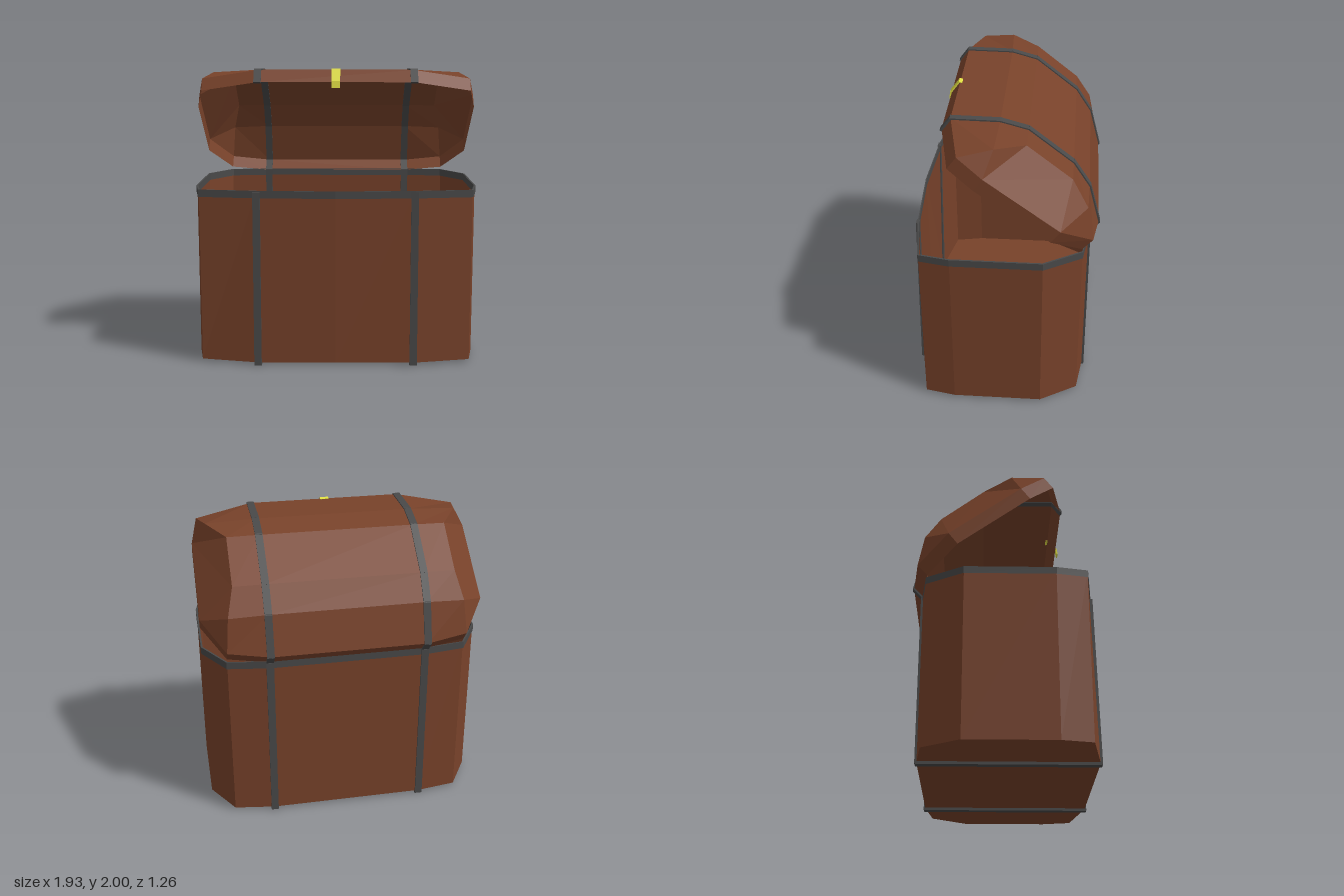
import * as THREE from 'three';

const mat = (name, color) => {
  const m = new THREE.MeshStandardMaterial({ color, side: THREE.DoubleSide, flatShading: true });
  m.name = name;
  return m;
};

// Faceted mesh from a list of quads / triangles, each given by its corner points
function facets(name, material, faces) {
  const pos = [];
  for (const f of faces)
    for (let i = 1; i < f.length - 1; i++) pos.push(...f[0], ...f[i], ...f[i + 1]);
  const g = new THREE.BufferGeometry();
  g.setAttribute('position', new THREE.Float32BufferAttribute(pos, 3));
  g.computeVertexNormals();
  const mesh = new THREE.Mesh(g, material);
  mesh.name = name;
  return mesh;
}

// Wall between two closed rings with the same number of points
const band = (low, high) => low.map((p, i) => {
  const j = (i + 1) % low.length;
  return [p, low[j], high[j], high[i]];
});

// Flat iron strap following [z, y] points in the plane x
function strap(name, material, x, path, width = 0.05, thick = 0.022) {
  const group = new THREE.Group();
  group.name = name;
  for (let i = 0; i < path.length - 1; i++) {
    const [z0, y0] = path[i], [z1, y1] = path[i + 1];
    const len = Math.hypot(z1 - z0, y1 - y0);
    const piece = new THREE.Mesh(new THREE.BoxGeometry(width, thick, len + thick * 0.6), material);
    piece.name = 'strapPiece';
    piece.position.set(x, (y0 + y1) / 2, (z0 + z1) / 2);
    piece.rotation.x = -Math.atan2(y1 - y0, z1 - z0);
    group.add(piece);
  }
  return group;
}

// Footprint ring: half of it is listed from front to back, then mirrored
function footprint(y, frontMid, frontStrap, scale = 1) {
  const half = [[0.53, frontStrap], [0.92, 0.535], [0.96, 0.33], [0.96, -0.27], [0.81, -0.52], [0.53, -0.56]];
  const ring = [[0, frontMid], ...half, ...half.map(([x, z]) => [-x, z]).reverse()];
  return ring.map(([x, z]) => [x * scale, y, z * scale]);
}

export function createModel() {
  const wood = mat('brown wood', 0x78422a);
  const iron = mat('dark iron', 0x494949);
  const brass = mat('yellow brass', 0xe0de42);
  const model = new THREE.Group();
  model.name = 'chest';

  // Open box
  const floor = footprint(0.02, 0.615, 0.615);
  const top = footprint(1.2, 0.618, 0.59);
  model.add(facets('boxWalls', wood, band(floor, top)));
  model.add(facets('boxFloor', wood, [[...floor].reverse()]));

  // Iron rim around the opening
  const rings = [[1.155, 1.006], [1.205, 1.006], [1.205, 0.994], [1.155, 0.994]]
    .map(([y, s]) => footprint(y, 0.618, 0.592, s));
  model.add(facets('rim', iron, rings.slice(0, 3).flatMap((r, i) => band(r, rings[i + 1]))));

  // Straps around the box
  for (const side of [-1, 1])
    model.add(strap('boxStrap', iron, side * 0.53,
      [[-0.56, 1.19], [-0.56, 0.012], [0.615, 0.012], [0.595, 1.19]]));

  // Lid, built closed with z running forward from the hinge, then tilted open
  const lid = new THREE.Group();
  lid.name = 'lid';
  lid.position.set(0, 1.195, -0.555);
  lid.rotation.x = -Math.atan2(0.6, 0.8);
  model.add(lid);

  // Arched profile at the straps, [z, y] from front to back
  const arch = [[1.2, 0], [1.2, 0.1], [0.945, 0.285], [0.771, 0.353],
    [0.4, 0.343], [0.211, 0.273], [-0.01, 0.097], [0, 0]];
  // Matching tapered ends, [x, y, z]
  const end = [[0.92, 0, 1.1], [0.92, 0.1, 1.1], [0.87, 0.262, 0.945], [0.745, 0.35, 0.771],
    [0.745, 0.34, 0.4], [0.79, 0.26, 0.211], [0.81, 0.1, 0.04], [0.81, 0, 0.05]];
  const middle = [], ends = [];
  for (let i = 0; i < arch.length - 1; i++) {
    const at = (k, x) => [x, arch[k][1], arch[k][0]];
    middle.push([at(i, -0.53), at(i, 0.53), at(i + 1, 0.53), at(i + 1, -0.53)]);
    ends.push([at(i, 0.53), end[i], end[i + 1], at(i + 1, 0.53)]);
  }
  const f0 = [0.965, 0, 0.9], f1 = [0.965, 0.1, 0.9], b1 = [0.965, 0.1, 0.3], b0 = [0.965, 0, 0.3];
  ends.push([end[0], f0, f1, end[1]], [f0, b0, b1, f1], [b0, end[7], end[6], b1],
    [end[1], f1, end[2]], [f1, end[3], end[2]], [f1, b1, end[4], end[3]],
    [b1, end[5], end[4]], [b1, end[6], end[5]]);
  const mirrored = ends.map(f => f.map(([x, y, z]) => [-x, y, z]).reverse());
  lid.add(facets('lidMiddle', wood, middle));
  lid.add(facets('lidLeftEnd', wood, ends));
  lid.add(facets('lidRightEnd', wood, mirrored));

  // Lid straps
  for (const side of [-1, 1]) lid.add(strap('lidStrap', iron, side * 0.53, arch, 0.05, 0.016));

  // Clasp: plate on the lid front with a bent tongue
  lid.add(strap('clasp', brass, 0, [[1.19, 0.106], [1.207, 0.1], [1.207, 0], [1.188, -0.036]], 0.06, 0.009));

  return model;
}
